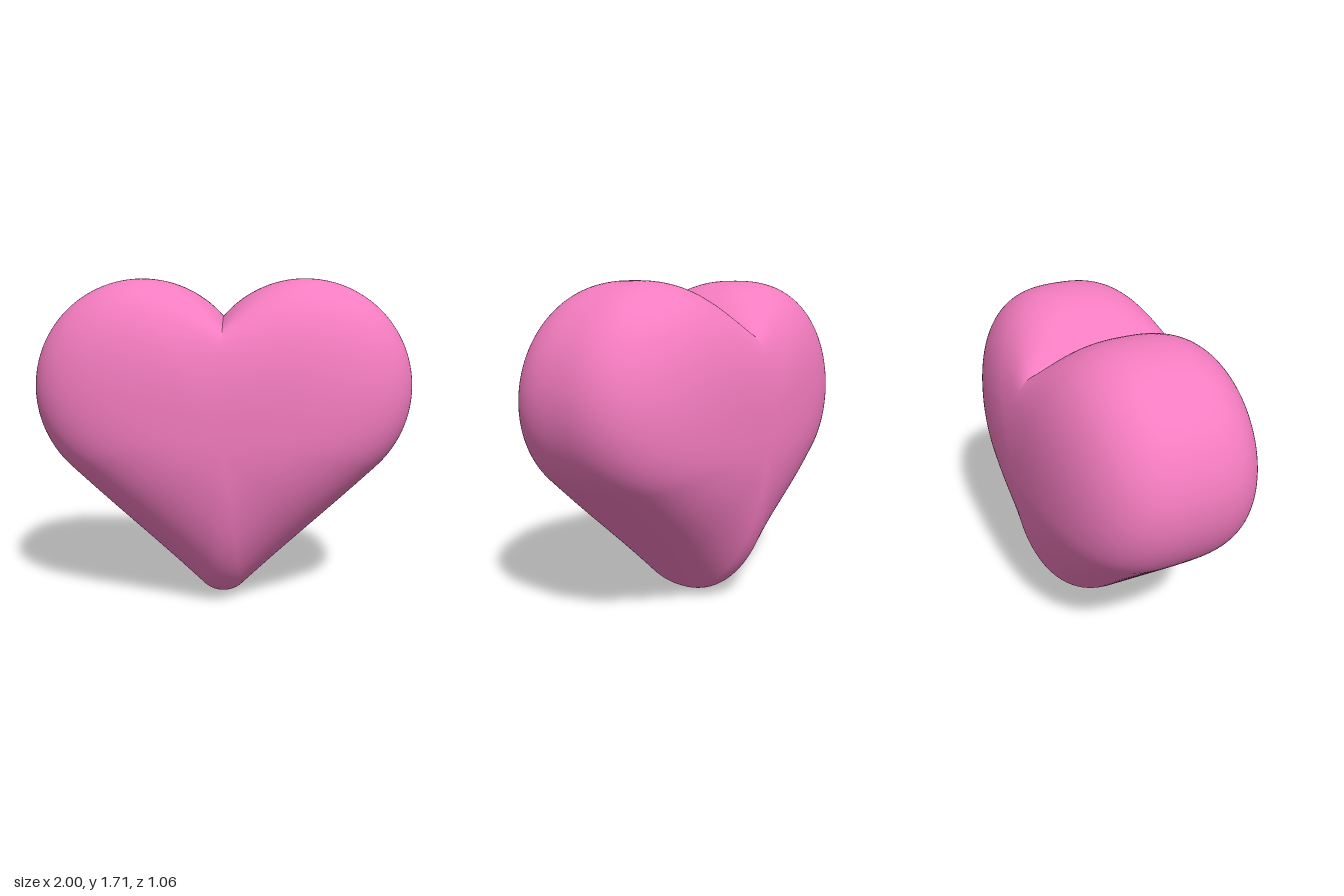
import * as THREE from 'three';

const CENTRE_Y = 0.93, HALF_DEPTH = 0.53, TOP = 1.71;
const LOBE = { x: 0.43, y: 1.14, r: 0.57 };
const TIP_R = 0.15;
const TANGENT = -46.5 * Math.PI / 180; // where lobe and tip meet the straight flank

// Right half of the heart outline: lobe arc, straight flank, rounded tip
function halfOutline() {
  const pts = [];
  const arc = (cx, cy, r, a0, a1, n) => {
    for (let i = 0; i <= n; i++) {
      const a = a0 + (a1 - a0) * i / n;
      pts.push(new THREE.Vector2(cx + r * Math.cos(a), cy + r * Math.sin(a)));
    }
  };
  arc(LOBE.x, LOBE.y, LOBE.r, Math.acos(-LOBE.x / LOBE.r), TANGENT, 56);
  const from = pts[pts.length - 1].clone();
  const to = new THREE.Vector2(TIP_R * Math.cos(TANGENT), TIP_R * (1 + Math.sin(TANGENT)));
  for (let i = 1; i < 20; i++) pts.push(from.clone().lerp(to, i / 20));
  arc(0, TIP_R, TIP_R, TANGENT, -Math.PI / 2, 14);
  pts[0].x = pts[pts.length - 1].x = 0;
  return pts;
}

// Inflate the outline: superelliptic rings from the front pole to the back pole
function heartGeometry() {
  const half = halfOutline();
  const mirrored = half.slice(0, -1).reverse().map(p => new THREE.Vector2(-p.x, p.y));
  const outline = [...half, ...mirrored]; // starts and ends at the notch, so its crease stays sharp
  const rings = 96, cols = outline.length;
  const positions = [], indices = [];

  for (let i = 0; i <= rings; i++) {
    const phi = Math.PI * i / rings;
    const sin = Math.max(0, Math.sin(phi)), cos = Math.cos(phi);
    for (const p of outline) {
      const dx = p.x, dy = p.y - CENTRE_Y;
      // Boxier section towards the sides, rounder towards top and tip
      const side = dx * dx / (dx * dx + dy * dy);
      const ends = dy > 0 ? 2.5 : 2.2;
      const power = 2 / (ends + (3 - ends) * side);
      const s = Math.pow(sin, power);
      const z = HALF_DEPTH * Math.sign(cos) * Math.pow(Math.abs(cos), power);
      // The notch fades out towards the front and back faces
      const fade = 1 - THREE.MathUtils.smoothstep(s, 0.5, 1);
      const fill = Math.abs(dx) < LOBE.x && dy > 0 ? (TOP - p.y) * fade : 0;
      positions.push(s * dx, CENTRE_Y + s * (dy + fill), z);
    }
  }
  for (let i = 0; i < rings; i++) {
    for (let j = 0; j < cols - 1; j++) {
      const a = i * cols + j, b = a + cols, c = b + 1, d = a + 1;
      if (i > 0) indices.push(a, d, c);
      if (i < rings - 1) indices.push(a, c, b);
      else indices.push(a, d, b);
    }
  }
  const geometry = new THREE.BufferGeometry();
  geometry.setAttribute('position', new THREE.Float32BufferAttribute(positions, 3));
  geometry.setIndex(indices);
  geometry.computeVertexNormals();
  return geometry;
}

export function createModel() {
  const group = new THREE.Group();
  const heart = new THREE.Mesh(heartGeometry(), new THREE.MeshStandardMaterial({ color: 0xf47cc0 }));
  heart.name = 'heart';
  group.add(heart);
  return group;
}
